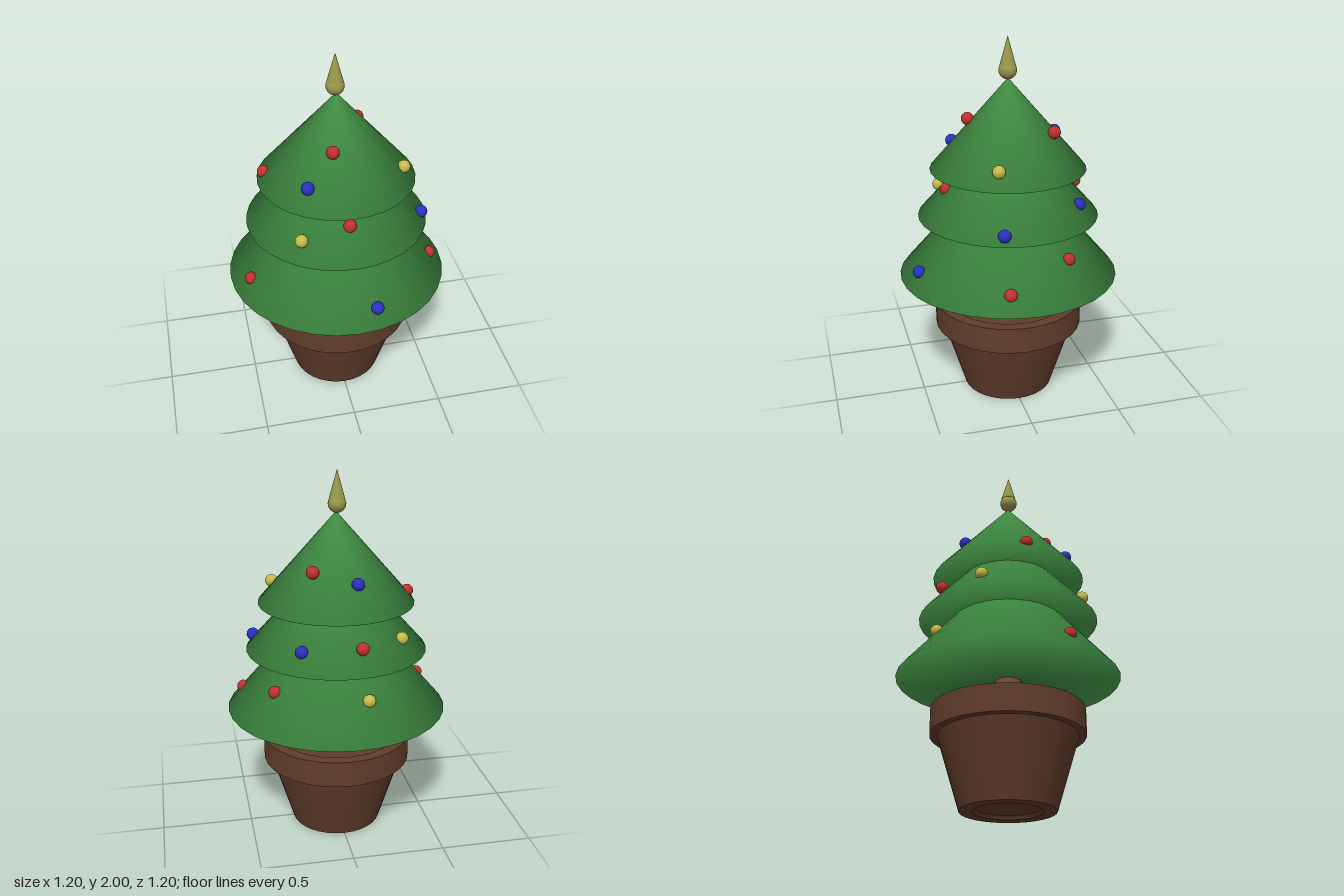
import * as THREE from 'three';

const SEGMENTS = 32;
const material = (color) => new THREE.MeshStandardMaterial({ color });

// Turned part from [radius, height] pairs; a repeated pair gives a sharp edge.
function turned(name, profile, mat, segments = SEGMENTS) {
  const points = profile.map(([r, y]) => new THREE.Vector2(r, y));
  const mesh = new THREE.Mesh(new THREE.LatheGeometry(points, segments), mat);
  mesh.name = name;
  return mesh;
}

// Doubles every inner point so that all edges of the profile stay crisp.
const crisp = (profile) =>
  profile.flatMap((p, i) => (i === 0 || i === profile.length - 1 ? [p] : [p, p]));

export function createModel() {
  const tree = new THREE.Group();
  tree.name = 'pottedTree';

  const green = material(0x3f8c42);
  const clay = material(0x613d2c);
  const bark = material(0x7a4e38);
  const gold = material(0x99984c);
  const baubleColors = {
    red: material(0xc03030),
    blue: material(0x2a30c0),
    yellow: material(0xc4bc4a),
  };

  // Pot with a recessed foot, a thick rim and a filled top
  tree.add(turned('pot', crisp([
    [0, 0.02], [0.17, 0.02], [0.18, 0], [0.25, 0], [0.37, 0.39], [0.41, 0.39],
    [0.41, 0.535], [0.35, 0.535], [0.34, 0.49], [0, 0.49],
  ]), clay));

  // Trunk
  const trunk = new THREE.Mesh(new THREE.CylinderGeometry(0.07, 0.07, 0.36, SEGMENTS), bark);
  trunk.name = 'trunk';
  trunk.position.y = 0.62;
  tree.add(trunk);

  // Three stacked foliage cones, softly shaded over the lower edge
  const tiers = [
    { name: 'lowerFoliage', radius: 0.6, bottom: 0.7, top: 1.4 },
    { name: 'middleFoliage', radius: 0.49, bottom: 1.04, top: 1.59 },
    { name: 'upperFoliage', radius: 0.42, bottom: 1.3, top: 1.785 },
  ];
  for (const { name, radius, bottom, top } of tiers) {
    tree.add(turned(name, [[0, bottom], [radius, bottom], [0, top]], green));
  }

  // Tree topper: ball with a spike
  const topper = new THREE.Group();
  topper.name = 'topper';
  const ball = new THREE.Mesh(new THREE.SphereGeometry(0.048, 24, 16), gold);
  ball.name = 'topperBall';
  ball.position.y = 1.823;
  const spike = new THREE.Mesh(new THREE.ConeGeometry(0.042, 0.15, 24), gold);
  spike.name = 'topperSpike';
  spike.position.y = 1.925;
  topper.add(ball, spike);
  topper.position.x = -0.005;
  tree.add(topper);

  // Baubles scattered over the tiers: colour, x, y, z
  const baubles = [
    ['red', -0.06, 1.565, 0.205],
    ['red', 0.16, 1.52, -0.205],
    ['red', -0.38, 1.345, -0.04],
    ['blue', -0.2, 1.41, 0.265],
    ['blue', -0.06, 1.465, -0.275],
    ['yellow', 0.33, 1.39, 0.135],
    ['red', 0, 1.205, 0.34],
    ['red', -0.06, 1.165, -0.4],
    ['blue', 0.44, 1.09, 0.135],
    ['blue', 0.24, 1.14, -0.325],
    ['yellow', -0.25, 1.145, 0.335],
    ['yellow', -0.3, 1.155, -0.26],
    ['red', -0.5, 0.79, 0.14],
    ['red', 0.505, 0.79, 0.12],
    ['red', 0.37, 0.89, -0.23],
    ['blue', 0.11, 0.79, 0.52],
    ['yellow', -0.09, 0.89, -0.43],
  ];
  const baubleShape = new THREE.SphereGeometry(0.034, 20, 14);
  const ornaments = new THREE.Group();
  ornaments.name = 'baubles';
  for (const [color, x, y, z] of baubles) {
    const bauble = new THREE.Mesh(baubleShape, baubleColors[color]);
    bauble.name = `${color}Bauble`;
    bauble.position.set(x, y, z);
    ornaments.add(bauble);
  }
  tree.add(ornaments);

  return tree;
}
